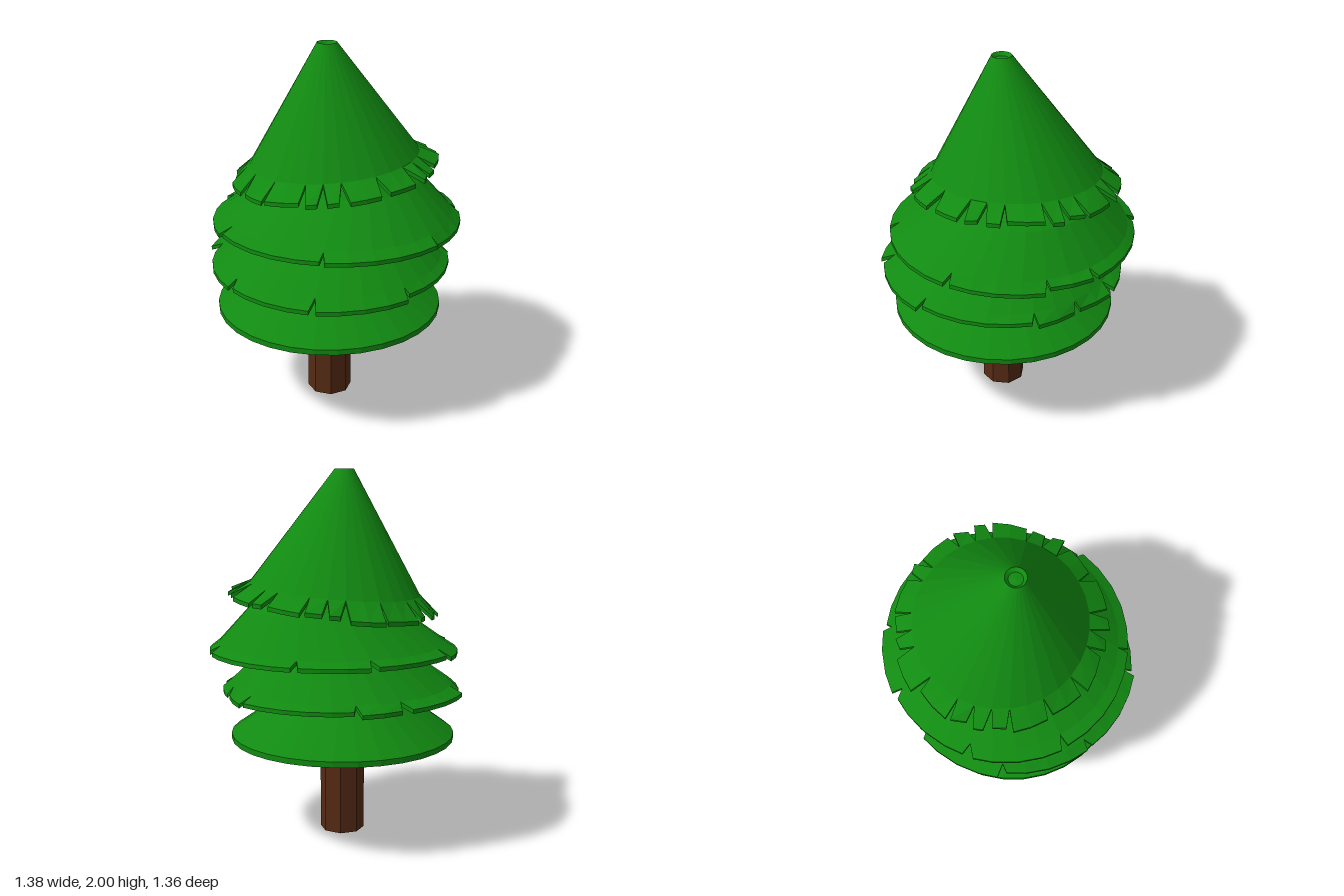
import * as THREE from 'three';

const SEG = 32;

// Small seeded generator, so the ragged rims are always the same
function seeded(seed) {
  return () => {
    seed = (seed * 16807) % 2147483647;
    return seed / 2147483647;
  };
}

// A ring of the foliage: radius, height, centre, and tilt of the height towards +x and +z
const ring = (r, y, cx, cz, tx = 0, tz = 0) => ({ r, y, cx, cz, tx, tz });

function pointOn(k, angle, drop = 0, grow = 0) {
  const c = Math.cos(angle), s = Math.sin(angle);
  return [k.cx + (k.r + grow) * c, k.y + k.tx * c + k.tz * s - drop, k.cz + (k.r + grow) * s];
}

// Hollow cone shell through the rings (top to bottom), with optional separate teeth along the rim
function tierGeometry(rings, thick, teeth) {
  const pos = [];
  const quad = (a, b, c, d) => pos.push(...a, ...b, ...c, ...a, ...c, ...d);
  const body = teeth ? rings.slice(0, -1) : rings;
  const last = body[body.length - 1];
  const step = (Math.PI * 2) / SEG;

  // Conical body: outside, inside and lower edge
  for (let i = 0; i < SEG; i++) {
    const a = i * step, b = (i + 1) * step;
    for (let j = 0; j < body.length - 1; j++) {
      const u = body[j], v = body[j + 1];
      quad(pointOn(v, b), pointOn(v, a), pointOn(u, a), pointOn(u, b));
      quad(pointOn(v, a, thick), pointOn(v, b, thick), pointOn(u, b, thick), pointOn(u, a, thick));
    }
    quad(pointOn(last, b, thick), pointOn(last, a, thick), pointOn(last, a), pointOn(last, b));
  }

  // Teeth: slabs that widen from the body edge, with V notches between them
  if (teeth) {
    const rim = rings[rings.length - 1];
    const rand = seeded(teeth.seed);
    for (let i = 0; i < SEG;) {
      const n = Math.min(SEG - i, teeth.min + Math.floor(rand() * (teeth.max - teeth.min + 1)));
      const g0 = (rand() - 0.5) * teeth.vary, g1 = (rand() - 0.5) * teeth.vary;
      const gap = teeth.gap * (0.5 + rand());
      const drop = (rand() - 0.5) * 0.02;
      const sections = [];
      for (let k = 0; k <= n; k++) {
        const a = (i + k) * step;
        const ra = a + (k === 0 ? gap : k === n ? -gap : 0);
        const grow = g0 + (g1 - g0) * (k / n);
        sections.push({
          inTop: pointOn(last, a), inLow: pointOn(last, a, thick),
          outTop: pointOn(rim, ra, drop, grow), outLow: pointOn(rim, ra, drop + thick, grow),
        });
      }
      for (let k = 0; k < n; k++) {
        const p = sections[k], q = sections[k + 1];
        quad(q.outTop, p.outTop, p.inTop, q.inTop);
        quad(p.outLow, q.outLow, q.inLow, p.inLow);
        quad(q.outLow, p.outLow, p.outTop, q.outTop);
      }
      const s = sections[0], e = sections[n];
      quad(s.outLow, s.inLow, s.inTop, s.outTop);
      quad(e.inLow, e.outLow, e.outTop, e.inTop);
      i += n;
    }
  }

  const geo = new THREE.BufferGeometry();
  geo.setAttribute('position', new THREE.Float32BufferAttribute(pos, 3));
  geo.computeVertexNormals();
  return geo;
}

export function createModel() {
  const tree = new THREE.Group();
  tree.name = 'tree';
  const green = new THREE.MeshStandardMaterial({ color: 0x118a11, flatShading: true, side: THREE.DoubleSide });
  const brown = new THREE.MeshStandardMaterial({ color: 0x552a14, flatShading: true });

  // Octagonal trunk
  const trunkHeight = 1.55;
  const trunk = new THREE.Mesh(new THREE.CylinderGeometry(0.122, 0.122, trunkHeight, 8), brown);
  trunk.geometry.rotateY(Math.PI / 8);
  trunk.position.set(-0.037, trunkHeight / 2, 0.015);
  trunk.name = 'trunk';
  tree.add(trunk);

  // Foliage tiers, bottom to top
  const tiers = [
    {
      name: 'bottomTier', thick: 0.03,
      rings: [ring(0.1, 0.95, -0.037, 0.015), ring(0.305, 0.79, -0.045, 0.01), ring(0.615, 0.57, -0.037, 0.012)],
    },
    {
      name: 'lowerMiddleTier', thick: 0.022,
      rings: [ring(0.1, 1.27, -0.037, 0.015), ring(0.405, 1.02, 0.01, 0.005),
        ring(0.605, 0.855, -0.03, 0.015), ring(0.66, 0.82, -0.036, 0.02)],
      teeth: { seed: 411, min: 2, max: 5, gap: 0.03, vary: 0.045 },
    },
    {
      name: 'upperMiddleTier', thick: 0.022,
      rings: [ring(0.1, 1.56, -0.02, 0.01), ring(0.405, 1.265, 0.08, -0.01),
        ring(0.615, 1.085, 0.03, -0.008), ring(0.668, 1.05, 0.026, -0.006)],
      teeth: { seed: 9173, min: 2, max: 5, gap: 0.03, vary: 0.045 },
    },
    {
      name: 'topTier', thick: 0.022,
      rings: [ring(0, 1.985, -0.045, 0.012), ring(0.035, 1.98, -0.045, 0.012), ring(0.052, 1.998, -0.045, 0.012),
        ring(0.455, 1.375, 0.02, -0.035, 0.035, 0.02), ring(0.55, 1.305, 0.03, -0.036, 0.05, 0.03)],
      teeth: { seed: 2377, min: 1, max: 2, gap: 0.04, vary: 0.04 },
    },
  ];
  for (const t of tiers) {
    const mesh = new THREE.Mesh(tierGeometry(t.rings, t.thick, t.teeth), green);
    mesh.name = t.name;
    tree.add(mesh);
  }
  return tree;
}
